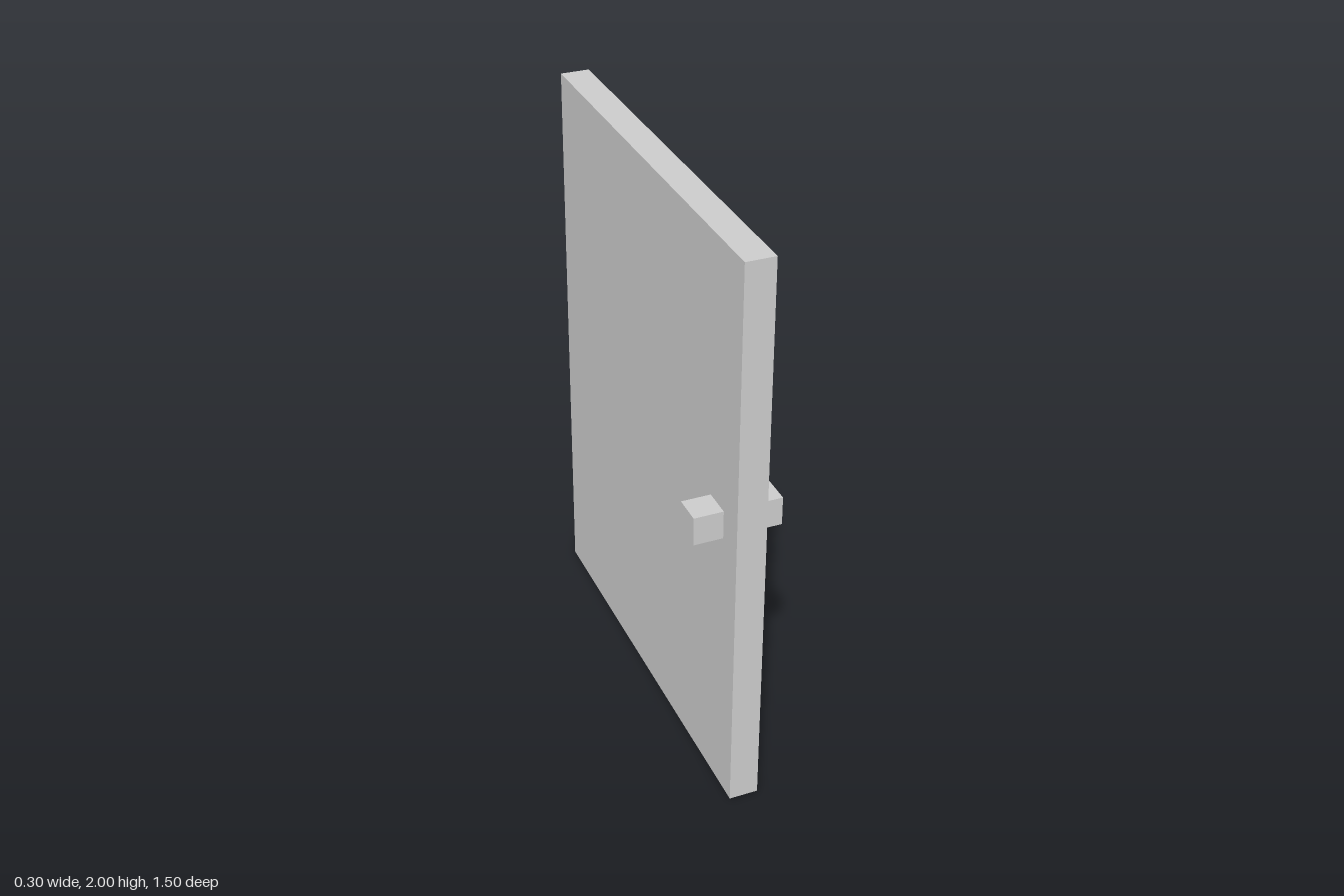
import * as THREE from 'three';

export function createModel() {
  const group = new THREE.Group();
  group.name = 'door';
  const material = new THREE.MeshStandardMaterial({ color: 0xcccccc, flatShading: true });

  const addBox = (name, size, position) => {
    const mesh = new THREE.Mesh(new THREE.BoxGeometry(...size), material);
    mesh.name = name;
    mesh.position.set(...position);
    group.add(mesh);
  };

  // Door slab, thin along x
  addBox('doorPanel', [0.1, 2, 1.5], [0, 1, 0]);

  // One cube knob on each face, near the front edge
  for (const [name, side] of [['leftKnob', 1], ['rightKnob', -1]]) {
    addBox(name, [0.1, 0.1, 0.1], [side * 0.1, 1.05, 0.6]);
  }

  return group;
}
